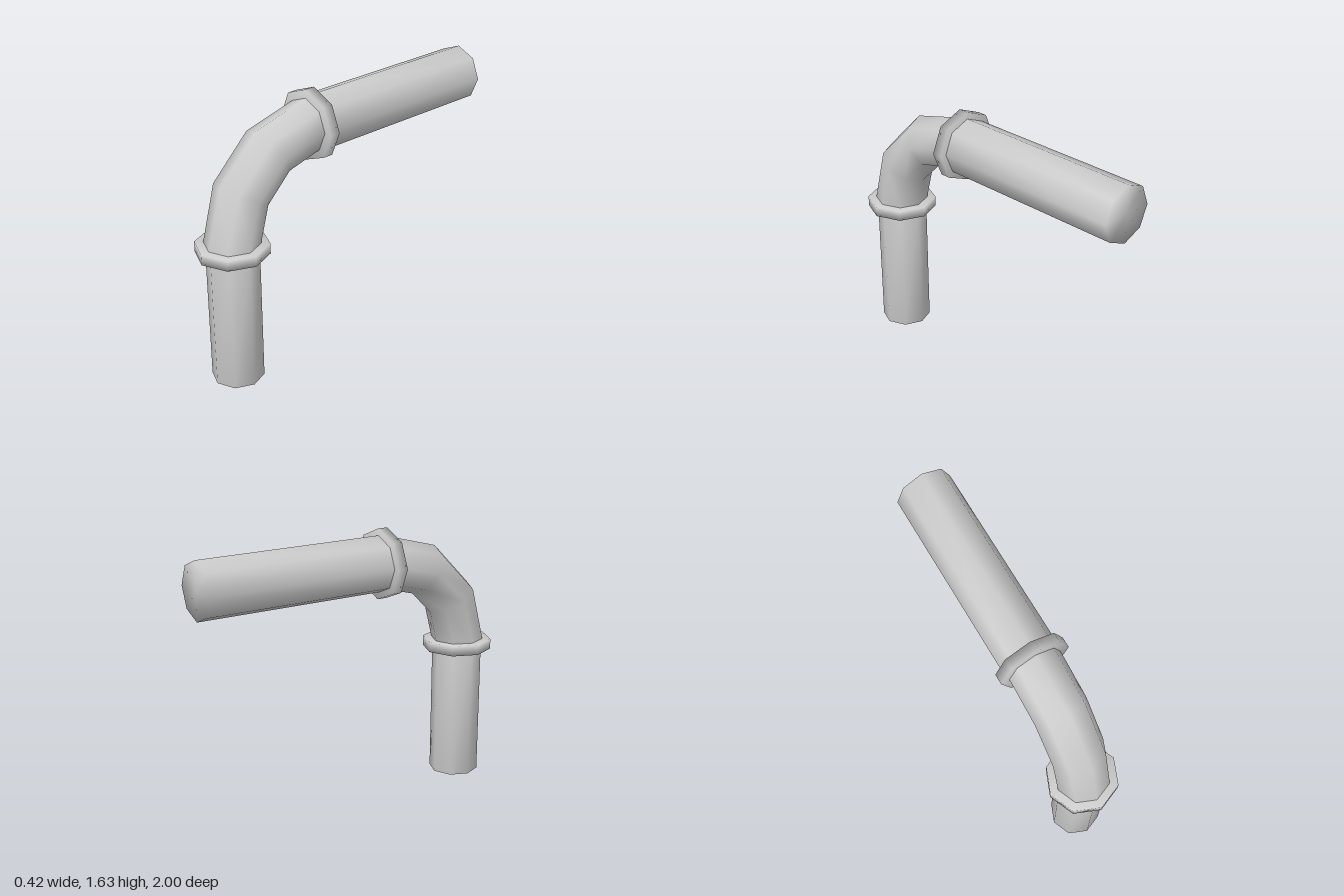
import * as THREE from 'three';
import { mergeVertices } from 'three/addons/utils/BufferGeometryUtils.js';

const SIDES = 8;
const BEND_Y = 0.875;  // height where the bend starts
const BEND_Z = 0.245;  // depth where the bend ends
const BEND_R = 0.545;  // bend radius along the pipe axis
const AXIS_Z = BEND_Z + BEND_R; // axis of the upright run
const AXIS_Y = BEND_Y + BEND_R; // axis of the level run

// Weld all corners so shading flows over the whole part
function smooth(geometry) {
  geometry.deleteAttribute('uv');
  geometry.deleteAttribute('normal');
  const welded = mergeVertices(geometry, 1e-4);
  welded.computeVertexNormals();
  return welded;
}

export function createModel() {
  const group = new THREE.Group();
  const material = new THREE.MeshStandardMaterial({ color: 0xcccccc });

  function add(name, geometry) {
    const mesh = new THREE.Mesh(smooth(geometry), material);
    mesh.name = name;
    group.add(mesh);
  }

  // Upright capped cylinder between two heights
  function upright(name, radius, y0, y1) {
    const g = new THREE.CylinderGeometry(radius, radius, y1 - y0, SIDES);
    add(name, g.translate(0, (y0 + y1) / 2, AXIS_Z));
  }

  // Level capped cylinder between two depths
  function level(name, radius, z0, z1) {
    const g = new THREE.CylinderGeometry(radius, radius, z1 - z0, SIDES);
    add(name, g.rotateX(Math.PI / 2).translate(0, AXIS_Y, (z0 + z1) / 2));
  }

  // Straight runs
  upright('uprightPipe', 0.153, 0, 0.84);
  level('levelPipe', 0.171, -1, 0.21);

  // Collars at both ends of the bend
  upright('lowerCollar', 0.212, 0.812, BEND_Y);
  level('upperCollar', 0.212, 0.182, BEND_Z);

  // Quarter-turn elbow in three segments
  const elbow = new THREE.TorusGeometry(BEND_R, 0.161, SIDES, 3, Math.PI / 2);
  add('elbow', elbow.rotateY(-Math.PI / 2).translate(0, BEND_Y, BEND_Z));

  return group;
}
